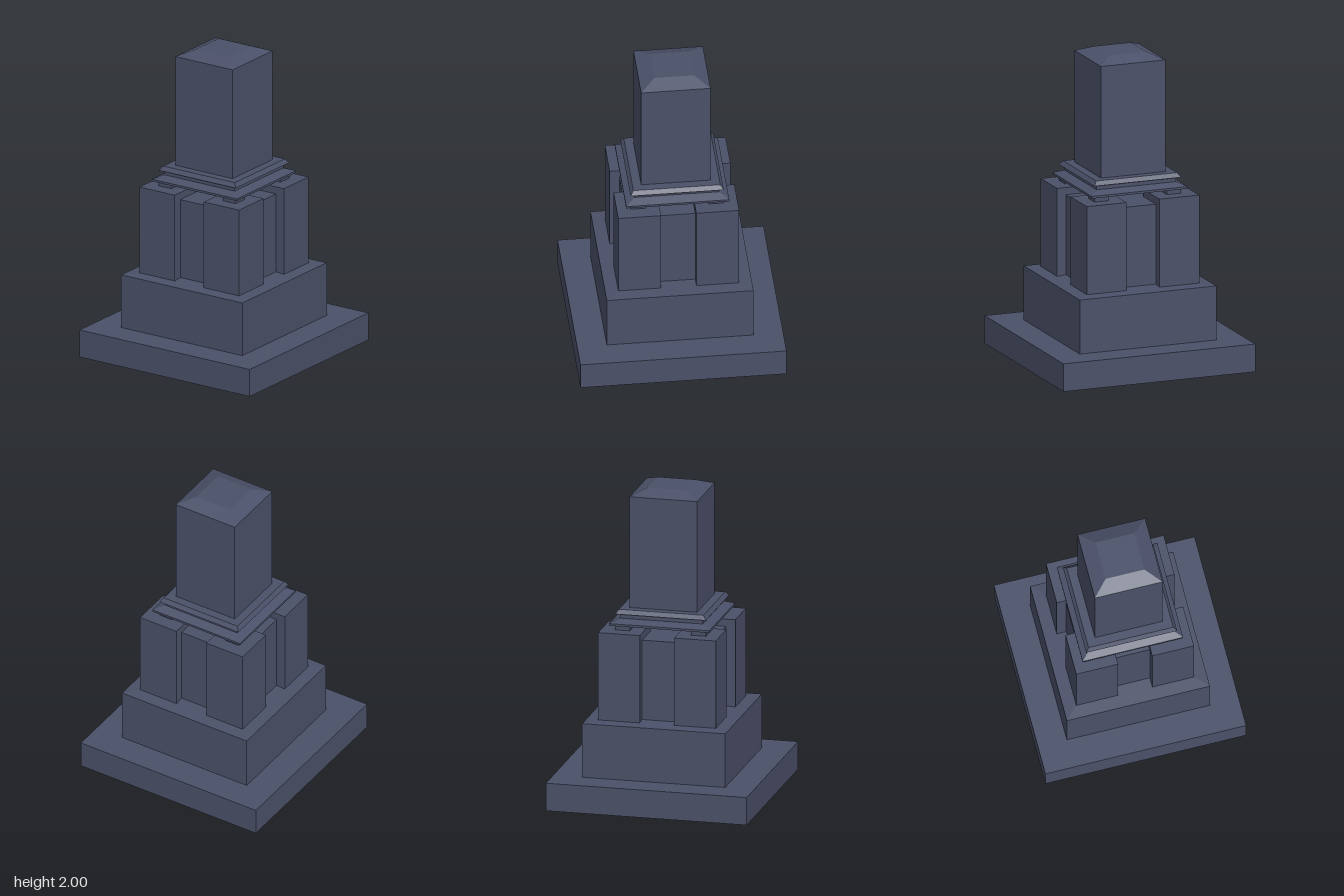
import * as THREE from 'three';

const stone = new THREE.MeshStandardMaterial({ color: 0x4a5068, flatShading: true });

// Square-plan solid swept from a profile of [half width, height] points, bottom to top
function squareTurned(name, profile) {
  const points = profile.map(([half, y]) => new THREE.Vector2(half * Math.SQRT2, y));
  const geometry = new THREE.LatheGeometry(points, 4).rotateY(Math.PI / 4).toNonIndexed();
  geometry.computeVertexNormals();
  const mesh = new THREE.Mesh(geometry, stone);
  mesh.name = name;
  return mesh;
}

// Square-plan block standing between two heights
function block(name, width, bottom, top, x = 0, z = 0) {
  const mesh = new THREE.Mesh(new THREE.BoxGeometry(width, top - bottom, width), stone);
  mesh.position.set(x, (bottom + top) / 2, z);
  mesh.name = name;
  return mesh;
}

export function createModel() {
  const model = new THREE.Group();
  model.name = 'monument';

  // Stepped base; the upper step has a slightly hipped top
  model.add(block('basePlinth', 1.3, 0, 0.18));
  model.add(squareTurned('upperStep', [
    [0, 0.18], [0.463, 0.18], [0.463, 0.53], [0.32, 0.542], [0, 0.542],
  ]));

  // Recessed core between the corner piers
  model.add(block('core', 0.64, 0.54, 1.06));

  // Four corner piers, each with a short post carrying the cornice
  for (const sx of [-1, 1]) {
    for (const sz of [-1, 1]) {
      model.add(block('cornerPier', 0.27, 0.53, 1.107, sx * 0.246, sz * 0.246));
      model.add(block('cornicePost', 0.096, 1.107, 1.14, sx * 0.246, sz * 0.246));
    }
  }

  // Moulded cornice
  model.add(squareTurned('cornice', [
    [0, 1.14], [0.325, 1.14], [0.325, 1.154], [0.268, 1.178], [0.268, 1.202],
    [0.294, 1.21], [0.274, 1.237], [0, 1.237],
  ]));

  // Shaft with a bevelled top
  model.add(squareTurned('shaft', [
    [0, 1.237], [0.219, 1.237], [0.219, 1.96], [0.125, 2], [0, 2],
  ]));

  return model;
}
